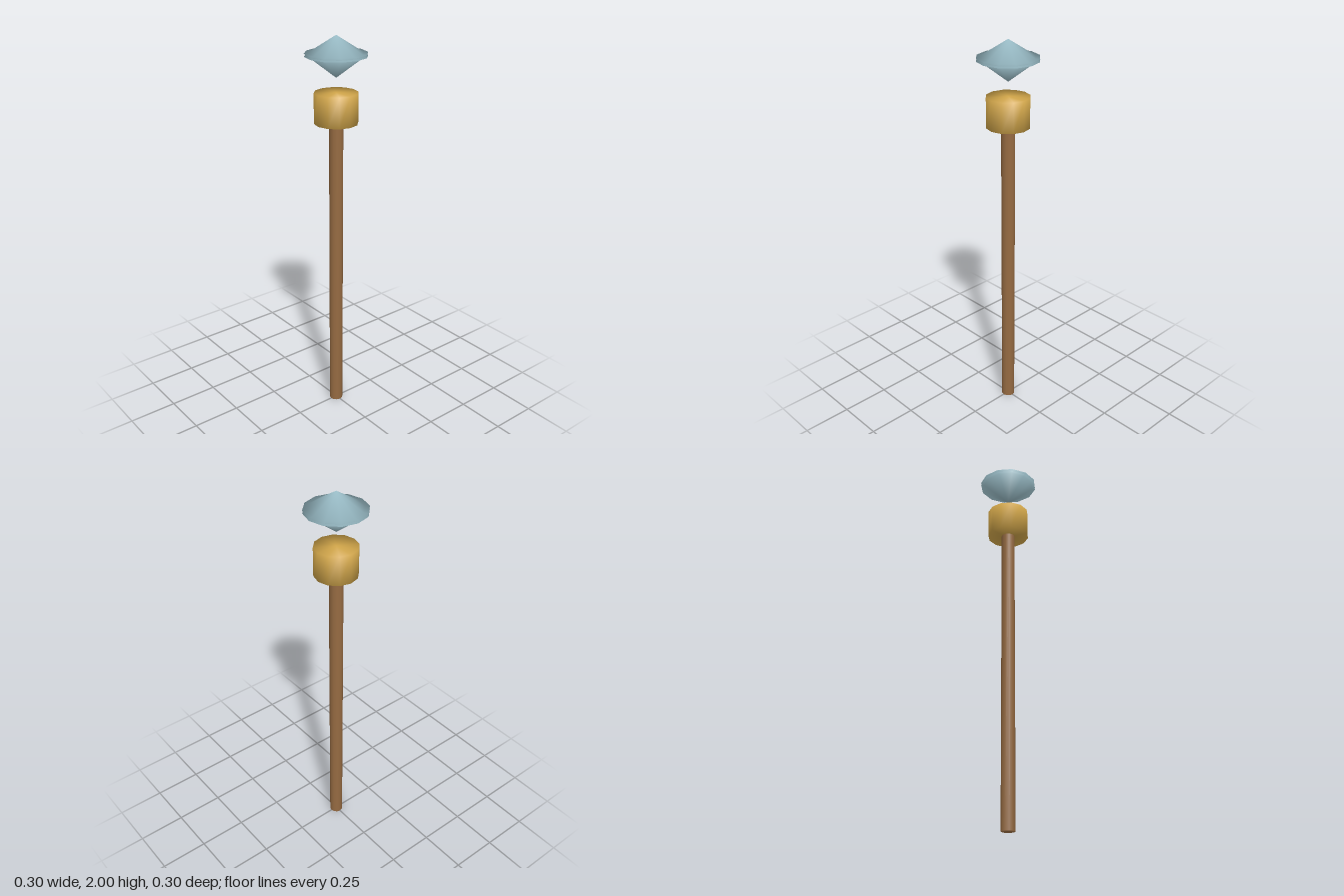
import * as THREE from 'three';
import { mergeVertices } from 'three/addons/utils/BufferGeometryUtils.js';

const SIDES = 12;

// Welds the corners so shading flows smoothly over the rims
function weld(geometry) {
  geometry.deleteAttribute('normal');
  geometry.deleteAttribute('uv');
  const welded = mergeVertices(geometry, 1e-4);
  welded.computeVertexNormals();
  return welded;
}

// A closed round part between two heights
function addRound(group, name, color, rBottom, rTop, y0, y1) {
  const geometry = weld(new THREE.CylinderGeometry(rTop, rBottom, y1 - y0, SIDES));
  const mesh = new THREE.Mesh(geometry, new THREE.MeshStandardMaterial({ color }));
  mesh.name = name;
  mesh.position.y = (y0 + y1) / 2;
  group.add(mesh);
}

export function createModel() {
  const staff = new THREE.Group();
  staff.name = 'staff';

  // Wooden shaft and the gold collar on its top
  addRound(staff, 'shaft', 0x966b42, 0.035, 0.035, 0, 1.6);
  addRound(staff, 'collar', 0xd4a84b, 0.108, 0.108, 1.58, 1.73);

  // Floating gem: two cones that overlap slightly at the girdle
  const gem = new THREE.Group();
  gem.name = 'gem';
  addRound(gem, 'gemCrown', 0xa0c4cf, 0.152, 0, 1.903, 2);
  addRound(gem, 'gemPoint', 0xa0c4cf, 0, 0.152, 1.8, 1.917);
  staff.add(gem);

  return staff;
}
